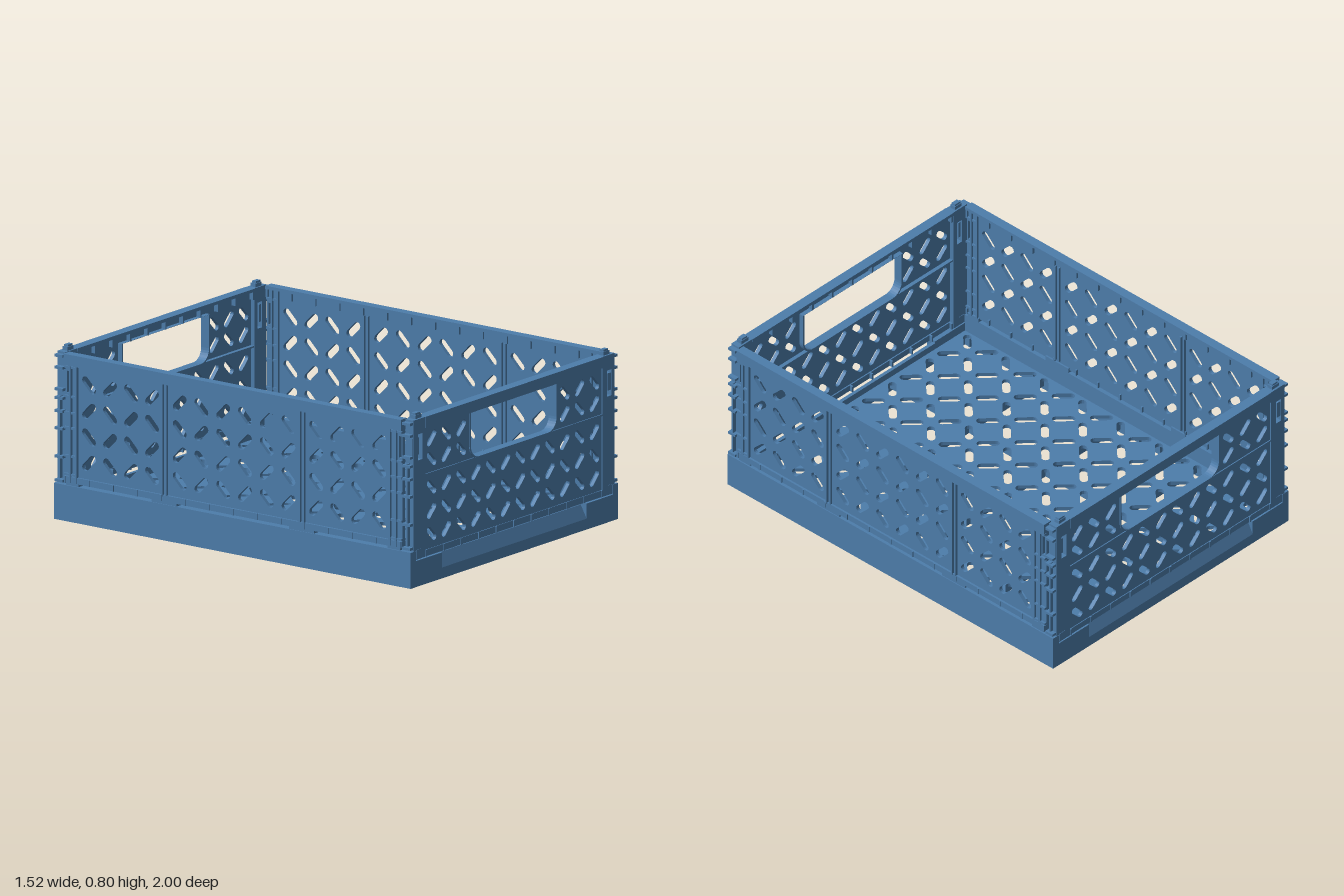
import * as THREE from 'three';

const mat = new THREE.MeshStandardMaterial({ color: 0x4d7dab, side: THREE.DoubleSide });
const X = 0.762, Z = 1; // half width and half length of the crate

function add(group, name, geo) {
  const mesh = new THREE.Mesh(geo, mat);
  mesh.name = name;
  group.add(mesh);
  return mesh;
}

// Box given by its lower and upper limits on each axis
function box(group, name, x0, x1, y0, y1, z0, z1) {
  const m = add(group, name, new THREE.BoxGeometry(x1 - x0, y1 - y0, z1 - z0));
  m.position.set((x0 + x1) / 2, (y0 + y1) / 2, (z0 + z1) / 2);
}

function outline(T, x0, x1, y0, y1) {
  return new T([[x0, y0], [x1, y0], [x1, y1], [x0, y1]].map(p => new THREE.Vector2(...p)));
}

// Opening with rounded lower corners for the handle
function handleOutline(T, w, y0, y1, r) {
  const s = new T();
  s.moveTo(-w, y1);
  s.lineTo(-w, y0 + r);
  s.absarc(-w + r, y0 + r, r, Math.PI, 1.5 * Math.PI, false);
  s.absarc(w - r, y0 + r, r, 1.5 * Math.PI, 2 * Math.PI, false);
  s.lineTo(w, y1);
  s.closePath();
  return s;
}

// Diagonal rounded slot; rising = true leans like "/"
function slot(cx, cy, rising, length, width) {
  const a = rising ? Math.PI / 4 : -Math.PI / 4, r = width / 2, h = length / 2 - r;
  const p = new THREE.Path(), dx = h * Math.cos(a), dy = h * Math.sin(a);
  p.absarc(cx + dx, cy + dy, r, a - Math.PI / 2, a + Math.PI / 2, false);
  p.absarc(cx - dx, cy - dy, r, a + Math.PI / 2, a + 1.5 * Math.PI, false);
  p.closePath();
  return p;
}

function extrude(shape, depth) {
  return new THREE.ExtrudeGeometry(shape, { depth, bevelEnabled: false, curveSegments: 4 });
}

// Shared rails: a channel open to the inside, with small stiffening ribs.
// Wall space: x along the wall, y up, z = 0 on the outer face, -z inward.
function rails(wall, half, bottom, railTop, depth) {
  box(wall, 'topRailCap', -half, half, 0.755, 0.77, -depth, 0);
  box(wall, 'topRailFace', -half, half, 0.718, 0.757, -0.022, 0);
  box(wall, 'bottomRail', -half, half, bottom, railTop, -0.032, -0.004);
  const n = Math.round(2 * half / 0.133);
  for (let i = 0; i <= n; i++) {
    const u = (half - 0.006) * (2 * i / n - 1);
    box(wall, 'topRailRib', u - 0.005, u + 0.005, 0.718, 0.757, -depth + 0.003, -0.02);
    box(wall, 'bottomRailRib', u - 0.004, u + 0.004, bottom, railTop, -depth + 0.003, 0);
  }
}

// End wall with the handle opening
function endWall() {
  const wall = new THREE.Group();
  const shape = outline(THREE.Shape, -0.655, 0.655, 0.13, 0.765);
  shape.holes.push(handleOutline(THREE.Path, 0.315, 0.505, 0.72, 0.06));
  const rows = [[0.66, 0], [0.565, 1], [0.435, 1], [0.325, 0], [0.22, 1]];
  rows.forEach(([y, odd], j) => {
    for (let i = 0; i < 12; i++) {
      if (j < 2 && i > 2 && i < 9) continue;
      shape.holes.push(slot((i - 5.5) * 0.1086, y, (i + odd) % 2 === 0, 0.085, 0.031));
    }
  });
  add(wall, 'endPanel', extrude(shape, 0.018)).position.z = -0.026;
  rails(wall, 0.65, 0.125, 0.155, 0.05);

  // Rim around the handle and the step on either side of it
  const rim = handleOutline(THREE.Shape, 0.323, 0.497, 0.721, 0.068);
  rim.holes.push(handleOutline(THREE.Path, 0.315, 0.505, 0.72, 0.06));
  add(wall, 'handleRim', extrude(rim, 0.044)).position.z = -0.048;
  for (const s of [[-0.65, -0.26], [0.26, 0.65]])
    box(wall, 'panelStep', ...s, 0.497, 0.505, -0.045, -0.003);
  box(wall, 'panelStepMiddle', -0.262, 0.262, 0.497, 0.505, -0.046, -0.003);

  // Corner posts with latch window, latch, edge ribs, foot and locking pin
  for (const s of [-1, 1]) {
    const post = new THREE.Group();
    post.name = 'cornerPost';
    const ps = outline(THREE.Shape, 0.65, 0.738, 0.125, 0.77);
    ps.holes.push(outline(THREE.Path, 0.683, 0.716, 0.58, 0.7));
    add(post, 'post', extrude(ps, 0.046)).position.z = -0.048;
    box(post, 'latch', 0.692, 0.74, 0.605, 0.685, -0.04, -0.006);
    for (const y of [0.18, 0.29, 0.42, 0.5, 0.56, 0.6, 0.7, 0.755])
      box(post, 'edgeRib', 0.736, X, y - 0.006, y + 0.006, -0.048, -0.004);
    box(post, 'edgeStrip', 0.736, 0.757, 0.19, 0.57, -0.03, -0.022);
    box(post, 'foot', 0.685, 0.72, 0.13, 0.17, -0.05, 0);
    box(post, 'lockingPin', 0.668, 0.712, 0.765, 0.787, -0.04, -0.012);
    box(post, 'lockingPinTip', 0.673, 0.707, 0.786, 0.796, -0.037, -0.015);
    // Mirror by position so that face winding stays outward
    if (s < 0) post.children.forEach(m => {
      if (m.geometry.type === 'ExtrudeGeometry') m.geometry.translate(-0.65 - 0.738, 0, 0);
      else m.position.x *= -1;
    });
    wall.add(post);
  }
  return wall;
}

// Long side wall in three slotted fields
function sideWall() {
  const wall = new THREE.Group();
  const shape = outline(THREE.Shape, -0.945, 0.945, 0.185, 0.765);
  const fields = [[-0.813, 4, 1], [-0.305, 6, 0], [0.46, 4, 1]];
  for (const [start, count, odd] of fields)
    for (let j = 0; j < 4; j++)
      for (let i = 0; i < count; i++)
        shape.holes.push(slot(start + i * (count === 6 ? 0.122 : 0.1177), 0.642 - j * 0.12,
          (i + j + odd) % 2 === 0, 0.094, 0.036));
  for (const s of [-1, 1])
    shape.holes.push(outline(THREE.Path, s * 0.93 - 0.007, s * 0.93 + 0.007, 0.59, 0.69));
  add(wall, 'sidePanel', extrude(shape, 0.018)).position.z = -0.032;
  rails(wall, 0.945, 0.178, 0.207, 0.045);

  for (const s of [-1, 1]) {
    // Paired ribs between fields
    for (const d of [-0.011, 0.011])
      box(wall, 'fieldRib', s * 0.385 + d - 0.004, s * 0.385 + d + 0.004, 0.2, 0.72, -0.043, -0.002);
    // Ribbed wall end
    for (const u of [0.878, 0.912])
      box(wall, 'endRib', s * u - 0.005, s * u + 0.005, 0.18, 0.76, -0.043, -0.002);
    for (const y of [0.215, 0.3, 0.43, 0.5, 0.575, 0.71])
      box(wall, 'endCrossRib', s * 0.91 - 0.035, s * 0.91 + 0.035, y - 0.005, y + 0.005, -0.04, -0.004);
    // Hinge blocks closing the gap to the base
    box(wall, 'hinge', s * 0.385 - 0.07, s * 0.385 + 0.07, 0.155, 0.19, -0.04, -0.004);
    box(wall, 'endHinge', s * 0.9 - 0.035, s * 0.9 + 0.035, 0.16, 0.185, -0.04, -0.006);
  }
  return wall;
}

// Shallow tray with slotted floor
function base() {
  const tray = new THREE.Group();
  tray.name = 'base';
  const shape = outline(THREE.Shape, -0.73, 0.73, -0.96, 0.96);
  for (let j = 0; j < 16; j++)
    for (let i = 0; i < 12; i++)
      shape.holes.push(slot((i - 5.5) * 0.1215, (7.5 - j) * 0.1177, (i + j) % 2 === 1, 0.104, 0.037));
  const floor = add(tray, 'floor', extrude(shape, 0.018).rotateX(-Math.PI / 2));
  floor.position.y = 0.06;

  // Floor ribs underneath
  for (const x of [-0.243, 0.243]) box(tray, 'longRib', x - 0.007, x + 0.007, 0.02, 0.061, -0.96, 0.96);
  for (const z of [-0.47, 0, 0.47]) box(tray, 'crossRib', -0.73, 0.73, 0.02, 0.061, z - 0.007, z + 0.007);

  for (const s of [-1, 1]) {
    const side = (a, b) => s > 0 ? [a, b] : [-b, -a];
    box(tray, 'sideRim', ...side(0.722, X), 0, 0.166, -Z, Z);
    for (let i = -7; i <= 7; i++)
      box(tray, 'sideGusset', ...side(0.705, 0.725), 0.015, 0.061, i * 0.13 - 0.004, i * 0.13 + 0.004);
    // End rim: solid ends and a sloped finger recess between them
    const end = new THREE.Group();
    end.name = 'endRim';
    box(end, 'rimLeft', 0.53, 0.73, 0, 0.12, 0.95, Z);
    box(end, 'rimRight', -0.73, -0.53, 0, 0.12, 0.95, Z);
    const profile = new THREE.Shape([[-1, 0], [-0.95, 0], [-0.95, 0.11], [-0.967, 0.11], [-1, 0.05]]
      .map(p => new THREE.Vector2(...p)));
    add(end, 'fingerRecess', extrude(profile, 1.06).rotateY(Math.PI / 2)).position.x = -0.53;
    for (let i = -5; i <= 5; i++)
      box(end, 'endGusset', i * 0.13 - 0.004, i * 0.13 + 0.004, 0.015, 0.061, 0.933, 0.952);
    end.rotation.y = s > 0 ? 0 : Math.PI;
    tray.add(end);
  }
  return tray;
}

export function createModel() {
  const model = new THREE.Group();
  model.name = 'foldingCrate';
  model.add(base());
  for (const s of [1, -1]) {
    const end = endWall();
    end.name = s > 0 ? 'frontWall' : 'backWall';
    end.position.z = s * Z;
    end.rotation.y = s > 0 ? 0 : Math.PI;
    const side = sideWall();
    side.name = s > 0 ? 'leftWall' : 'rightWall';
    side.position.x = s * X;
    side.rotation.y = s * Math.PI / 2;
    model.add(end, side);
  }
  return model;
}
